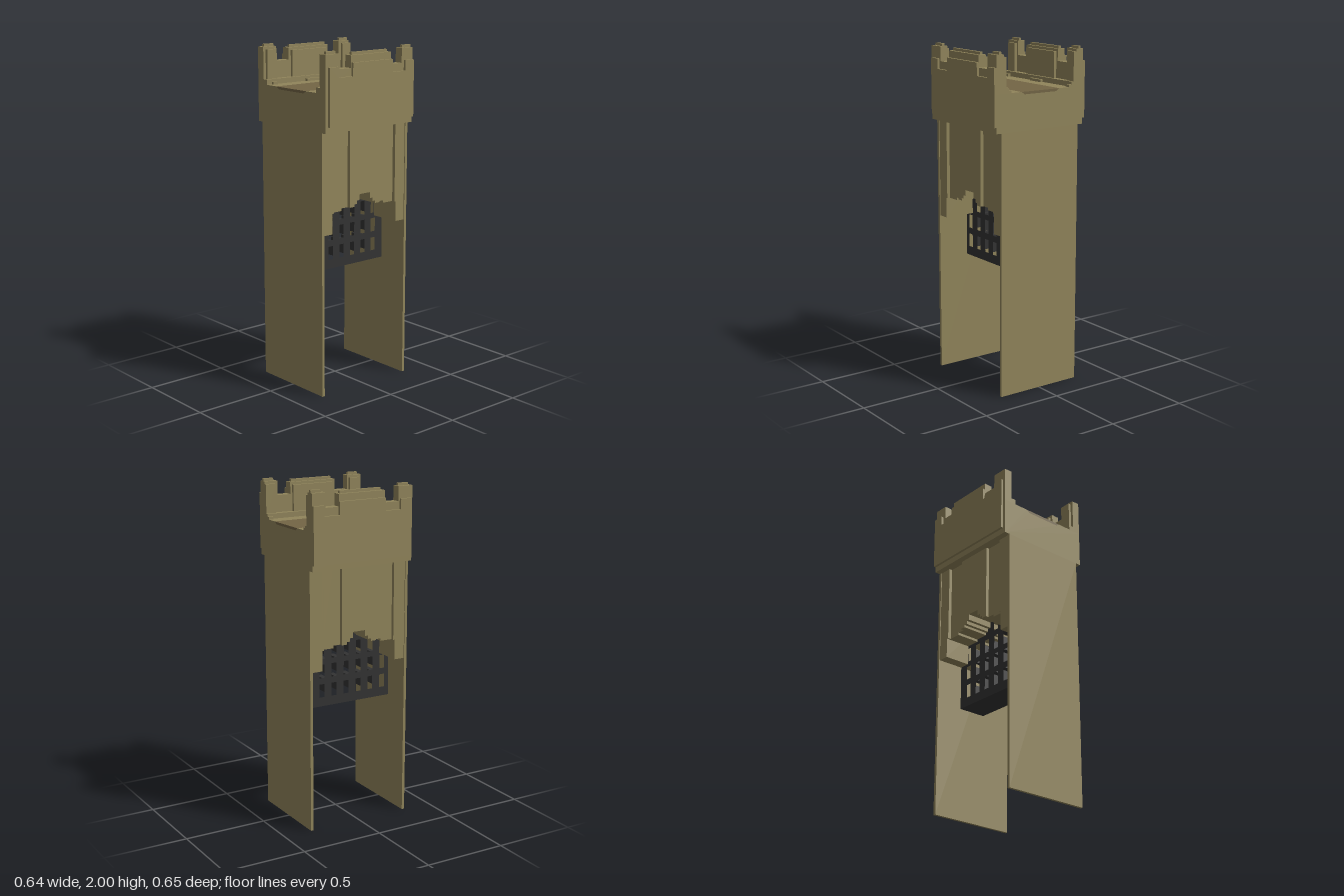
import * as THREE from 'three';

export function createModel() {
  const model = new THREE.Group();
  model.name = 'gatehouse';
  const mat = (name, color) => {
    const m = new THREE.MeshStandardMaterial({ color });
    m.name = name;
    return m;
  };
  const stone = mat('stone', 0x91855b);
  const deckStone = mat('dark deck stone', 0x736545);
  const iron = mat('iron', 0x333333);

  const add = (name, geo, material = stone) => {
    const mesh = new THREE.Mesh(geo, material);
    mesh.name = name;
    model.add(mesh);
    return mesh;
  };
  const box = (name, x0, x1, y0, y1, z0, z1) => add(name,
    new THREE.BoxGeometry(x1 - x0, y1 - y0, z1 - z0)
      .translate((x0 + x1) / 2, (y0 + y1) / 2, (z0 + z1) / 2));
  const toShape = pts => new THREE.Shape(pts.map(p => new THREE.Vector2(...p)));
  // Side profile of [z, y] points, extruded from x0 to x1
  const sideGeo = (pts, x0, x1, holes = []) => {
    const turn = list => list.map(([z, y]) => [-z, y]);
    const shape = toShape(turn(pts));
    shape.holes = holes.map(h => toShape(turn(h)));
    return new THREE.ExtrudeGeometry(shape, { depth: x1 - x0, bevelEnabled: false })
      .rotateY(Math.PI / 2).translate(x0, 0, 0);
  };
  // Front profile of [x, y] points, extruded through the whole depth
  const Z = 0.327;
  const frontGeo = pts => new THREE.ExtrudeGeometry(toShape(pts), { depth: 2 * Z, bevelEnabled: false })
    .translate(0, 0, -Z);

  // Tall thin walls, front and back
  box('frontWall', -0.27, 0.27, 0, 1.55, 0.31, Z);
  box('backWall', -0.27, 0.27, 0, 1.55, -Z, -0.31);

  // Stepped arch body: [inner z, outer z, soffit height, half width]
  const steps = [
    [0.245, 0.31, 0.96, 0.265], [0.235, 0.245, 1.08, 0.265],
    [0.16, 0.235, 1.08, 0.245], [0.115, 0.16, 1.095, 0.245],
    [0.08, 0.115, 1.095, 0.265], [0.06, 0.08, 1.11, 0.265],
    [0.04, 0.06, 1.13, 0.265], [0, 0.04, 1.165, 0.265]];
  for (const [z0, z1, y, x] of steps) {
    box('archStep', -x, x, y, 1.55, z0, z1);
    box('archStep', -x, x, y, 1.55, -z1, -z0);
  }

  // Portcullis with rows of openings
  const half = [[0.31, 0.69], [0.31, 0.96], [0.245, 0.96], [0.245, 1.08], [0.16, 1.08], [0.16, 1.095],
    [0.08, 1.095], [0.08, 1.11], [0.06, 1.11], [0.06, 1.13], [0.04, 1.13], [0.04, 1.165]];
  const outline = [...half, ...half.map(([z, y]) => [-z, y]).reverse()];
  const rect = (z0, z1, y0, y1) => [[z0, y0], [z1, y0], [z1, y1], [z0, y1]];
  const holes = [rect(-0.008, 0.032, 1.1, 1.163)];
  const columns = [0.264, 0.18, 0.097, 0.014, -0.07, -0.153, -0.236];
  columns.forEach((z, i) => {
    holes.push(rect(z - 0.017, z + 0.017, 0.745, 0.825), rect(z - 0.017, z + 0.017, 0.863, 0.945));
    if (i > 0) holes.push(rect(Math.max(z - 0.017, -0.242), z + 0.017, 0.978, 1.062));
  });
  add('portcullis', sideGeo(outline, -0.1, 0.075, holes), iron);

  // Deck with a dark walkway set into it
  add('deck', frontGeo([[-0.303, 1.55], [0.303, 1.55], [0.303, 1.77], [0.133, 1.77],
    [0.11, 1.755], [-0.11, 1.755], [-0.133, 1.77], [-0.303, 1.77]]));
  add('walkway', frontGeo([[-0.11, 1.755], [0.11, 1.755], [0.133, 1.77], [-0.133, 1.77]]), deckStone);

  // Battlements, mirrored on both sides
  const parapet = [[Z, 1.77], [Z, 1.985], [0.232, 1.985], [0.232, 1.9], [0.142, 1.9], [0.142, 1.97],
    [-0.158, 1.97], [-0.158, 1.9], [-0.243, 1.9], [-0.243, 1.985], [-Z, 1.985], [-Z, 1.77]];
  const panel = [[0.31, 1.585], [0.31, 1.915], [0.242, 1.915], [0.242, 1.855], [0.14, 1.855], [0.14, 1.93],
    [-0.16, 1.93], [-0.16, 1.855], [-0.26, 1.855], [-0.26, 1.915], [-Z, 1.915], [-Z, 1.585]];
  // Merlons: [z0, z1, inner lining top, ridge top]
  const merlons = [[-Z, -0.263, 1.97, 2], [-0.145, 0.125, 1.955, 1.985], [0.242, 0.31, 1.97, 2]];
  for (const s of [-1, 1]) {
    const span = (a, b) => (s > 0 ? [a, b] : [-b, -a]);
    add('parapet', sideGeo(parapet, ...span(0.253, 0.303)));
    add('outerPanel', sideGeo(panel, ...span(0.303, 0.318)));
    for (const [z0, z1, lining, ridge] of merlons) {
      box('merlonLining', ...span(0.236, 0.253), 1.77, lining, z0, z1);
      box('merlonRidge', ...span(0.268, 0.285), 1.96, ridge, z0, z1);
    }
    box('ledge', ...span(0.22, 0.253), 1.77, 1.8, -Z, Z);
    for (const [z0, z1] of [[-Z, -0.297], [-0.06, 0.04], [0.26, 0.293]])
      box('ledgeBlock', ...span(0.202, 0.22), 1.77, 1.785, z0, z1);
  }
  return model;
}
